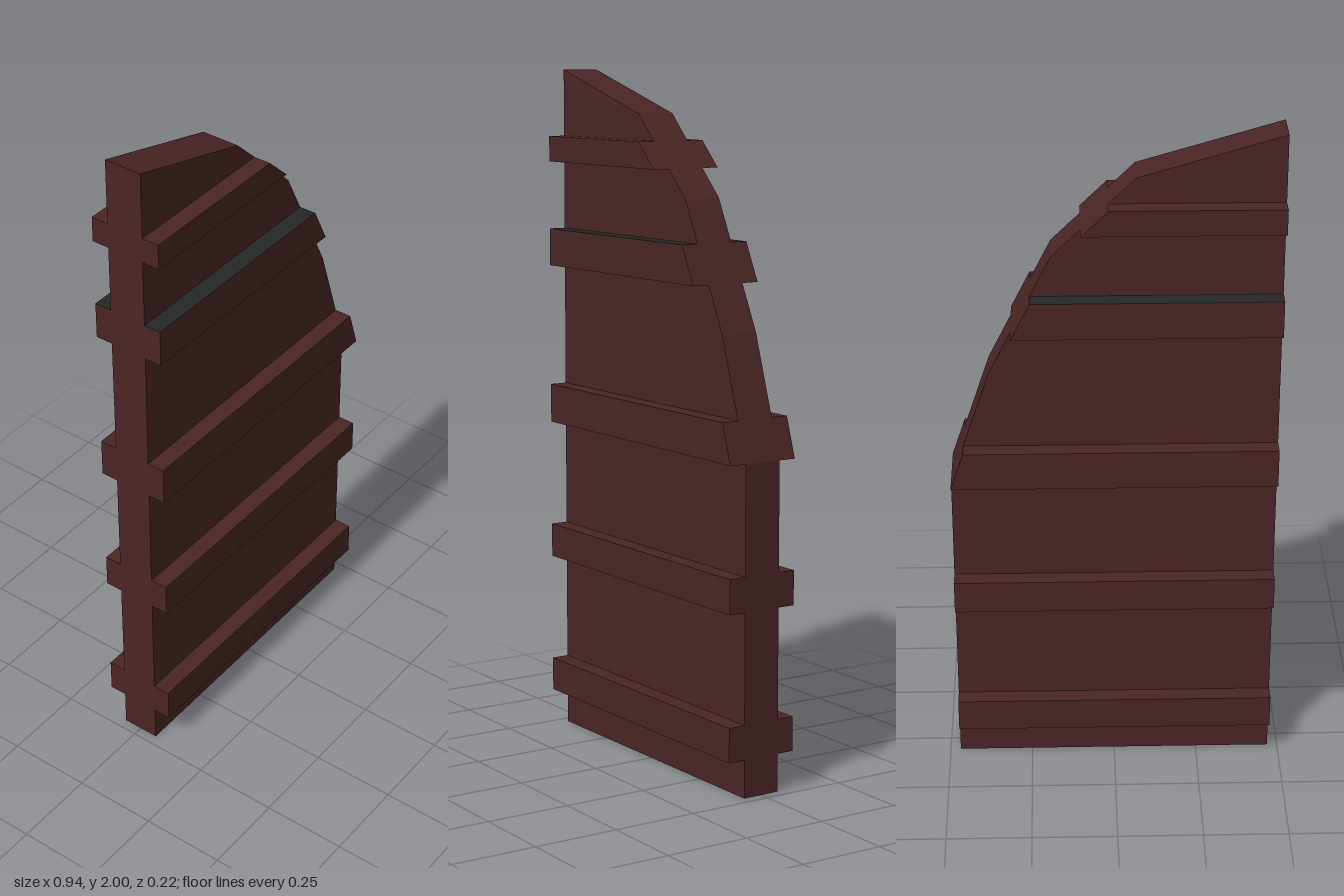
import * as THREE from 'three';

const HALF = 0.47;        // half width of the door leaf
const PANEL_Z = 0.057;    // half thickness of the panel
const BATTEN_Z = 0.109;   // outer face of the battens

// Curved edge of the leaf, from the outer side up to the peak
const EDGE = [[HALF, 0], [HALF, 0.945], [0.355, 1.29], [0.175, 1.65], [-0.06, 1.88], [-HALF, 2]];

// x of the curved edge at height y
function edgeX(y) {
  for (let i = 1; i < EDGE.length; i++) {
    const [x0, y0] = EDGE[i - 1], [x1, y1] = EDGE[i];
    if (y <= y1) return x0 + (x1 - x0) * (y - y0) / (y1 - y0);
  }
  return -HALF;
}

// Box whose +x end is slanted to follow the curved edge
function battenGeometry(y0, y1) {
  const depth = BATTEN_Z - PANEL_Z;
  const geo = new THREE.BoxGeometry(2 * HALF, y1 - y0, depth);
  geo.translate(0, (y0 + y1) / 2, 0);
  const pos = geo.attributes.position;
  for (let i = 0; i < pos.count; i++) {
    if (pos.getX(i) > 0) pos.setX(i, edgeX(pos.getY(i)));
  }
  geo.computeVertexNormals();
  return geo;
}

export function createModel() {
  const wood = new THREE.MeshStandardMaterial({ name: 'darkRedWood', color: 0x4a2525 });
  const iron = new THREE.MeshStandardMaterial({ name: 'darkGrey', color: 0x252727 });
  const door = new THREE.Group();
  door.name = 'doorLeaf';

  // Main panel
  const outline = new THREE.Shape([[-HALF, 0], ...EDGE].map(([x, y]) => new THREE.Vector2(x, y)));
  const panelGeo = new THREE.ExtrudeGeometry(outline, { depth: 2 * PANEL_Z, bevelEnabled: false });
  panelGeo.translate(0, 0, -PANEL_Z);
  const panel = new THREE.Mesh(panelGeo, wood);
  panel.name = 'panel';
  door.add(panel);

  // Horizontal battens on both faces; one has a grey top face
  const battens = [[0.11, 0.21], [0.53, 0.63], [0.945, 1.06], [1.42, 1.53, true], [1.73, 1.805]];
  battens.forEach(([y0, y1, greyTop], i) => {
    const geo = battenGeometry(y0, y1);
    const material = greyTop ? [wood, wood, iron, wood, wood, wood] : wood;
    for (const side of [1, -1]) {
      const batten = new THREE.Mesh(geo, material);
      batten.name = `${side > 0 ? 'front' : 'back'}Batten${i + 1}`;
      batten.position.z = side * (PANEL_Z + BATTEN_Z) / 2;
      door.add(batten);
    }
  });

  return door;
}
